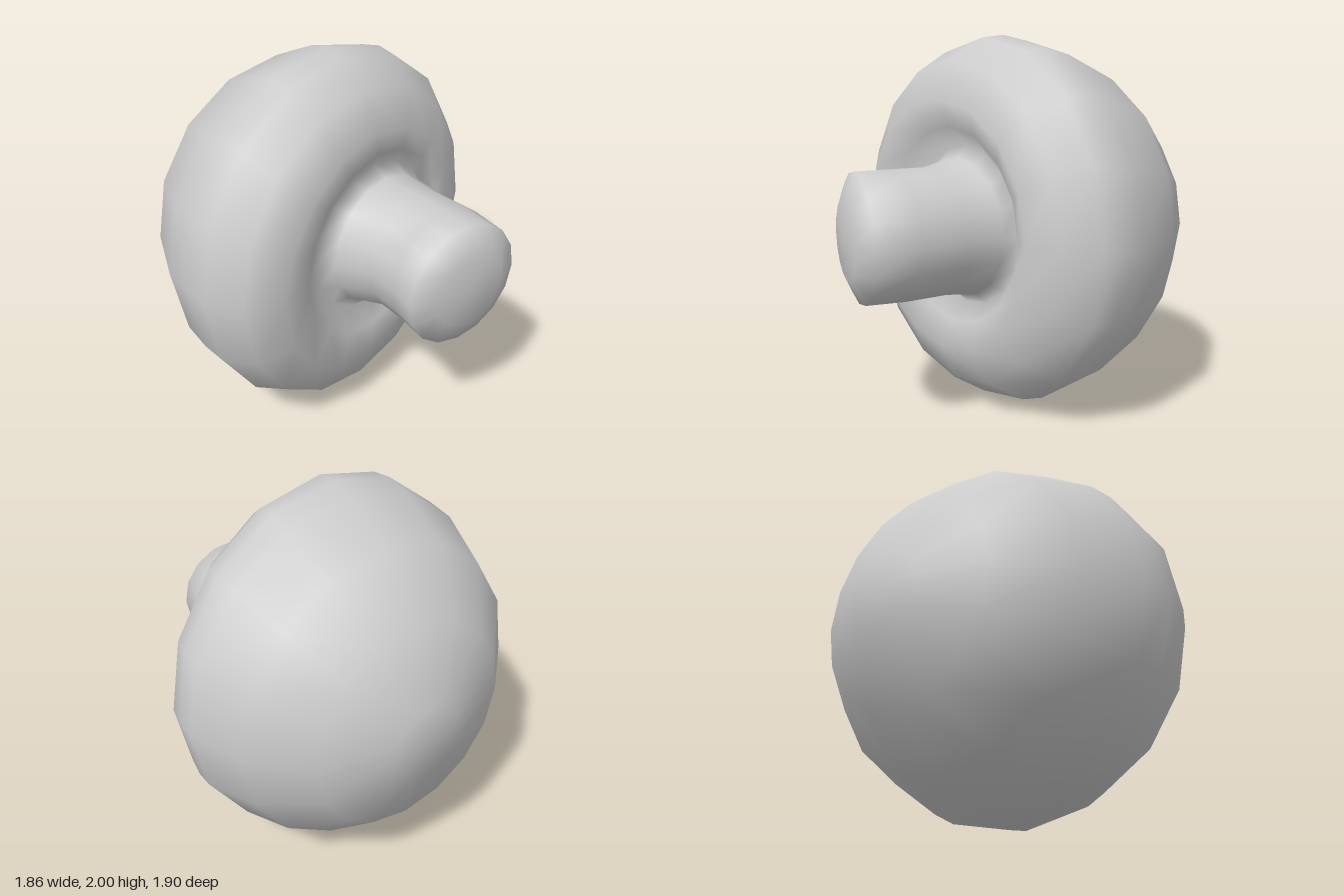
import * as THREE from 'three';

const SIDES = 16;

// Cross-sections from the crown of the cap to the foot of the stem:
// [x, z of the back end, x, z of the front end, half height, centre y]
const CAP = [
  [-0.93, -0.07, -0.93, -0.07, 0, 1.01],
  [-0.93, -0.26, -0.92, 0.14, 0.2, 1.01],
  [-0.8, -0.6, -0.78, 0.51, 0.56, 1.005],
  [-0.53, -0.84, -0.51, 0.8, 0.83, 1],
  [-0.23, -0.95, -0.16, 0.94, 0.97, 1],
  [-0.12, -0.95, 0.02, 0.95, 1, 1],
  [-0.02, -0.935, 0.17, 0.945, 0.985, 1],
  [0.15, -0.81, 0.36, 0.85, 0.87, 1],
  [0.22, -0.64, 0.45, 0.67, 0.67, 1],
  [0.21, -0.56, 0.38, 0.48, 0.52, 1.01], // inner edge of the rim
  [0.17, -0.51, 0.27, 0.35, 0.42, 1.015], // bottom of the hollow
];
const STEM = [
  [0.24, -0.475, 0.33, 0.27, 0.36, 1.015],
  [0.42, -0.463, 0.5, 0.18, 0.33, 1.015],
  [0.67, -0.465, 0.66, 0.19, 0.332, 1.015],
  [0.885, -0.43, 0.81, 0.22, 0.33, 1.015],
  [0.93, -0.3, 0.88, 0.1, 0.2, 1.015],
  [0.92, -0.1, 0.92, -0.1, 0, 1.015],
];

export function createModel() {
  const rings = [...CAP, ...STEM];
  const last = rings.length - 1;
  const positions = [];
  const starts = [];

  // Elliptical rings; the two ends close in a single point
  rings.forEach(([ax, az, bx, bz, h, cy], i) => {
    starts.push(positions.length / 3);
    const count = i === 0 || i === last ? 1 : SIDES;
    for (let j = 0; j < count; j++) {
      const t = (j / SIDES) * Math.PI * 2;
      const k = 0.5 + 0.5 * Math.cos(t);
      positions.push(ax + (bx - ax) * k, cy + h * Math.sin(t), az + (bz - az) * k);
    }
  });

  const vertex = (i, j) => starts[i] + (i === 0 || i === last ? 0 : j % SIDES);
  const skin = (from, to) => {
    const index = [];
    for (let i = from; i < to; i++) {
      for (let j = 0; j < SIDES; j++) {
        const a = vertex(i, j), b = vertex(i + 1, j);
        const c = vertex(i + 1, j + 1), d = vertex(i, j + 1);
        if (b !== c) index.push(a, b, c);
        if (a !== d) index.push(a, c, d);
      }
    }
    return index;
  };

  // Normals are shared so that the cap flows smoothly into the stem
  const whole = new THREE.BufferGeometry();
  whole.setAttribute('position', new THREE.Float32BufferAttribute(positions, 3));
  whole.setIndex(skin(0, last));
  whole.computeVertexNormals();

  const material = new THREE.MeshStandardMaterial({ color: 0xcccccc });
  const group = new THREE.Group();
  group.name = 'mushroom';
  const addPart = (name, from, to) => {
    const geometry = whole.clone();
    geometry.setIndex(skin(from, to));
    const mesh = new THREE.Mesh(geometry, material);
    mesh.name = name;
    group.add(mesh);
  };
  addPart('cap', 0, CAP.length - 1);
  addPart('stem', CAP.length - 1, last);
  return group;
}
